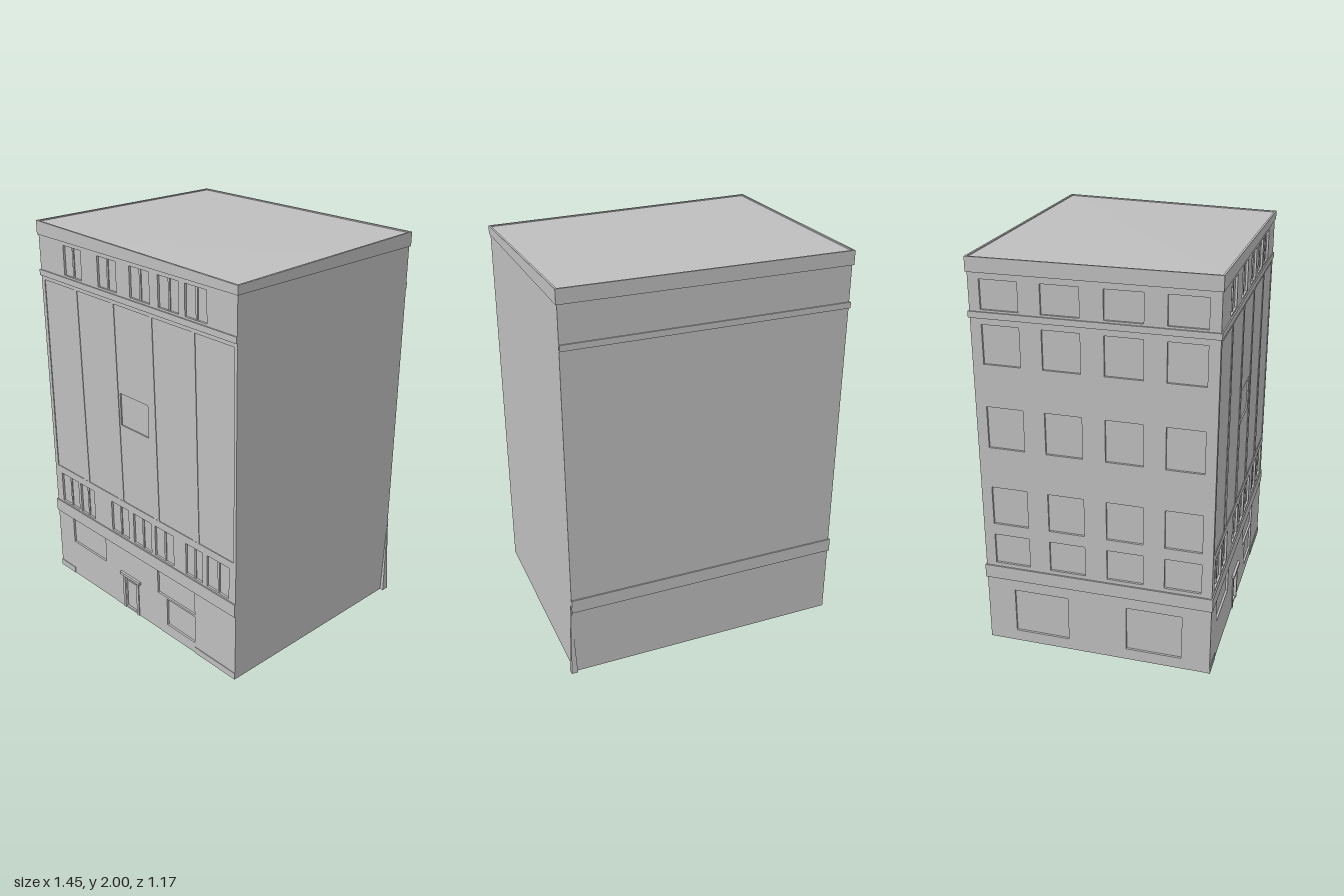
import * as THREE from 'three';

export function createModel() {
  const model = new THREE.Group();
  const stone = new THREE.MeshStandardMaterial({ color: 0xbebebe });
  stone.name = 'pale grey stone';

  const add = (name, geometry, parent = model) => {
    const mesh = new THREE.Mesh(geometry, stone);
    mesh.name = name;
    parent.add(mesh);
    return mesh;
  };

  // Box given by its lower and upper corners
  const block = (name, [x0, y0, z0], [x1, y1, z1]) => {
    const g = new THREE.BoxGeometry(x1 - x0, y1 - y0, z1 - z0);
    g.translate((x0 + x1) / 2, (y0 + y1) / 2, (z0 + z1) / 2);
    return add(name, g);
  };

  // Thin wall sheet with rectangular openings [u0, v0, u1, v1]
  const sheet = ([u0, v0, u1, v1], openings, depth) => {
    const shape = new THREE.Shape();
    shape.moveTo(u0, v0).lineTo(u1, v0).lineTo(u1, v1).lineTo(u0, v1).closePath();
    for (const [a, b, c, d] of openings) {
      const hole = new THREE.Path();
      hole.moveTo(a, b).lineTo(a, d).lineTo(c, d).lineTo(c, b).closePath();
      shape.holes.push(hole);
    }
    return new THREE.ExtrudeGeometry(shape, { depth, bevelEnabled: false });
  };

  // Main block
  block('body', [-0.703, 0, -0.573], [0.706, 1.95, 0.562]);

  // Front wall: window rows, shop openings, door and the recessed middle field
  const row = (spans, v0, v1) => spans.map(([a, b]) => [a, v0, b, v1]);
  const frontOpenings = [
    ...row([[-0.51, -0.37], [-0.24, -0.1], [0, 0.14], [0.2, 0.34], [0.38, 0.52]], 1.76, 1.91),
    ...row([[-0.66, -0.51], [-0.49, -0.37], [-0.22, -0.08], [-0.04, 0.1],
      [0.13, 0.27], [0.36, 0.48], [0.51, 0.66]], 0.44, 0.61),
    [-0.58, 0.21, -0.29, 0.355], [0.14, 0.225, 0.42, 0.355], [0.21, 0.06, 0.42, 0.215],
    [-0.125, 0.01, -0.035, 0.19],
    [-0.69, 0.65, 0.69, 1.7],
  ];
  add('frontWall', sheet([-0.715, 0, 0.706, 1.95], frontOpenings, 0.011)).position.z = 0.562;

  // Middle field with its single small window
  add('frontField', sheet([-0.69, 0.65, 0.69, 1.7], [[-0.11, 1.08, 0.1, 1.25]], 0.007))
    .position.z = 0.562;

  // Shallow tapering pilasters over the middle field
  for (const x of [-0.43, -0.14, 0.14, 0.43]) {
    const shape = new THREE.Shape();
    shape.moveTo(x - 0.025, 0.65).lineTo(x + 0.025, 0.65).lineTo(x + 0.01, 1.7).lineTo(x - 0.01, 1.7);
    add('pilaster', new THREE.ExtrudeGeometry(shape, { depth: 0.003, bevelEnabled: false }))
      .position.z = 0.569;
  }

  // Window mullions
  for (const [a, b, c, d] of frontOpenings.slice(0, 12)) {
    const m = (a + c) / 2;
    block('mullion', [m - 0.006, b, 0.56], [m + 0.006, d, 0.567]);
  }

  // Windowed side wall
  const sideOpenings = [[-0.43, 0.06, -0.15, 0.3], [0.15, 0.06, 0.43, 0.3]];
  for (const z of [-0.43, -0.145, 0.145, 0.43]) {
    for (const [v0, v1] of [[0.45, 0.61], [0.67, 0.87], [1.08, 1.29], [1.5, 1.69], [1.76, 1.9]]) {
      sideOpenings.push([z - 0.09, v0, z + 0.09, v1]);
    }
  }
  const side = add('sideWall', sheet([-0.573, 0, 0.573, 1.95], sideOpenings, 0.011));
  side.rotation.y = -Math.PI / 2;
  side.position.x = -0.703;

  // String courses, flush with the blank side
  for (const [y0, y1] of [[0.36, 0.43], [1.72, 1.75]]) {
    const frame = sheet([-0.721, -0.579, 0.705, 0.579], [[-0.69, -0.55, 0.69, 0.55]], y1 - y0);
    frame.rotateX(-Math.PI / 2);
    frame.translate(0, y0, 0);
    add('stringCourse', frame);
  }

  // Cornice and roof, dipping toward the front left corner
  const dip = (g) => {
    const p = g.attributes.position;
    for (let i = 0; i < p.count; i++) {
      if (p.getY(i) < 1.96) continue;
      const u = (p.getX(i) + 0.721) / 1.433;
      const v = (p.getZ(i) + 0.579) / 1.158;
      p.setY(i, p.getY(i) - 0.028 * u * v);
    }
    g.computeVertexNormals();
    return g;
  };
  const rim = sheet([-0.721, -0.579, 0.712, 0.579], [[-0.711, -0.569, 0.702, 0.569]], 0.07);
  rim.rotateX(-Math.PI / 2);
  rim.translate(0, 1.93, 0);
  add('cornice', dip(rim));
  dip(block('roof', [-0.712, 1.94, -0.57], [0.703, 1.994, 0.57]).geometry);

  // Door surround, lintel and step strip
  for (const x of [-0.145, -0.035]) block('doorJamb', [x, 0, 0.57], [x + 0.018, 0.2, 0.578]);
  block('doorLintel', [-0.16, 0.2, 0.57], [0, 0.215, 0.586]);
  block('doorPanel', [-0.11, 0.02, 0.56], [-0.05, 0.17, 0.566]);
  for (const [a, b] of [[-0.718, -0.59], [0.42, 0.706]]) {
    block('plinth', [a, 0, 0.57], [b, 0.035, 0.576]);
  }

  // Slim wedge leaning against the rear corner
  const wedge = new THREE.CylinderGeometry(0, 1, 0.41, 4, 1).toNonIndexed();
  wedge.rotateY(Math.PI / 4);
  wedge.scale(0.022, 1, 0.026);
  wedge.translate(0.709, 0.205, -0.569);
  wedge.computeVertexNormals();
  add('cornerWedge', wedge);

  return model;
}
